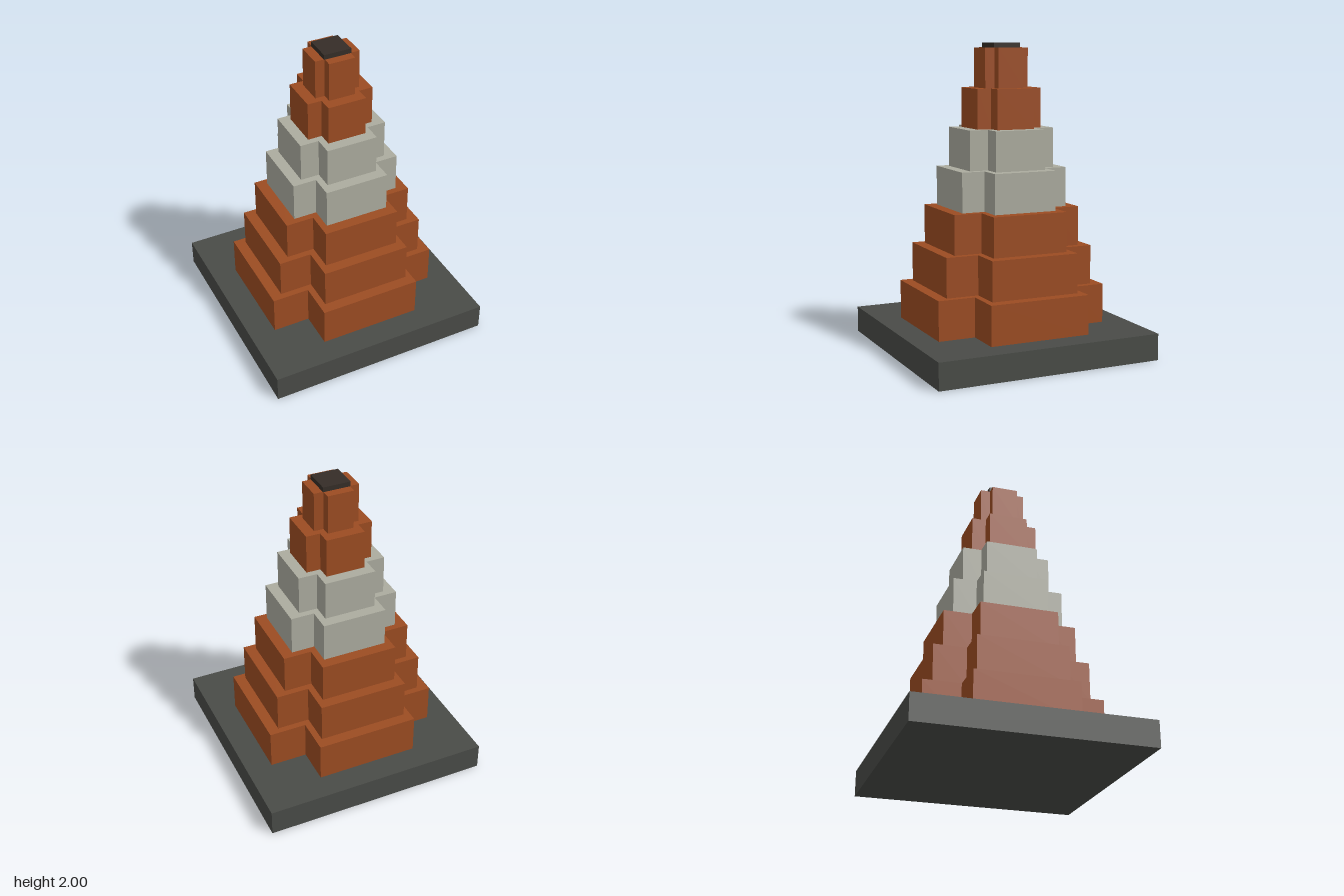
import * as THREE from 'three';

const material = (color) => new THREE.MeshStandardMaterial({ color, flatShading: true });

// Plus-shaped block standing on y = 0: a = reach of the arms, b = half-width of the arms
function crossBlock(a, b, height) {
  const outline = [
    [b, -a], [b, -b], [a, -b], [a, b], [b, b], [b, a],
    [-b, a], [-b, b], [-a, b], [-a, -b], [-b, -b], [-b, -a],
  ].map(([x, y]) => new THREE.Vector2(x, y));
  const geometry = new THREE.ExtrudeGeometry(new THREE.Shape(outline), { depth: height, bevelEnabled: false });
  return geometry.rotateX(-Math.PI / 2);
}

export function createModel() {
  const model = new THREE.Group();
  const rust = material(0x9c4c22);
  const pale = material(0xacac9f);

  const add = (name, geometry, mat, y) => {
    const mesh = new THREE.Mesh(geometry, mat);
    mesh.name = name;
    mesh.position.y = y;
    model.add(mesh);
  };

  // Square base slab
  const baseHeight = 0.173;
  add('base', new THREE.BoxGeometry(1.5, baseHeight, 1.5), material(0x494b47), baseHeight / 2);

  // Seven shrinking tiers with a pale band in the middle
  const tiers = 7, tierHeight = 0.2565;
  for (let i = 0; i < tiers; i++) {
    const reach = THREE.MathUtils.lerp(0.581, 0.15, i / (tiers - 1));
    const isBand = i === 3 || i === 4;
    add(`${isBand ? 'bandTier' : 'tier'}${i + 1}`, crossBlock(reach, reach * 0.58, tierHeight),
      isBand ? pale : rust, baseHeight + i * tierHeight);
  }

  // Dark cap on top
  const capBottom = baseHeight + tiers * tierHeight;
  add('cap', new THREE.BoxGeometry(0.182, 2 - capBottom, 0.182), material(0x352d27), (2 + capBottom) / 2);

  return model;
}
